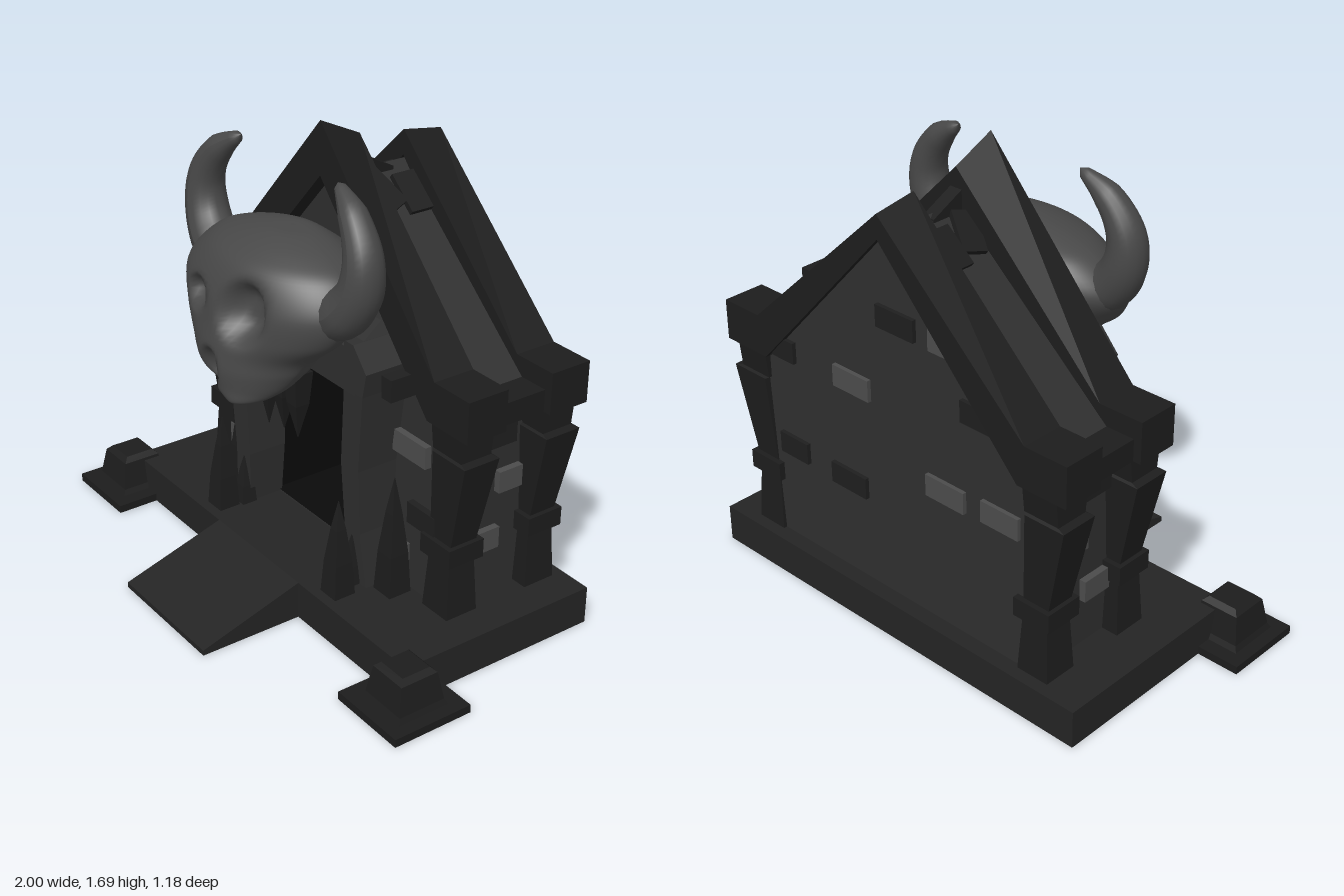
import * as THREE from 'three';

const mat = (color, flat = true) => new THREE.MeshStandardMaterial({ color, flatShading: flat });
const TRIM = mat(0x1d1d1d), WALL = mat(0x2f2f2f), FLOOR = mat(0x242424), DARK = mat(0x1f1f1f);
const LIGHT = mat(0x4c4c4c), BONE = mat(0x484848, false);
const VOID = mat(0x0a0a0a);
VOID.side = THREE.BackSide;
FLOOR.side = THREE.DoubleSide;

function add(parent, name, geo, material, x = 0, y = 0, z = 0) {
  const m = new THREE.Mesh(geo, material);
  m.name = name;
  m.position.set(x, y, z);
  parent.add(m);
  return m;
}

// Box from x0..x1, y0..y1, z0..z1
function block(parent, name, x0, x1, y0, y1, z0, z1, material) {
  return add(parent, name, new THREE.BoxGeometry(x1 - x0, y1 - y0, z1 - z0), material,
    (x0 + x1) / 2, (y0 + y1) / 2, (z0 + z1) / 2);
}

// Solid through rectangular rings [y, x0, x1, z0, z1]; side -1 mirrors it in x
function loft(rings, side = 1, bottom = true) {
  const p = [], idx = [];
  for (const [y, a, b, z0, z1] of rings) {
    const [x0, x1] = side > 0 ? [a, b] : [-b, -a];
    p.push(x0, y, z1, x1, y, z1, x1, y, z0, x0, y, z0);
  }
  const n = rings.length;
  for (let r = 0; r < n - 1; r++) for (let i = 0; i < 4; i++) {
    const a = r * 4 + i, b = r * 4 + (i + 1) % 4;
    idx.push(a, b, b + 4, a, b + 4, a + 4);
  }
  const t = (n - 1) * 4;
  idx.push(t, t + 1, t + 2, t, t + 2, t + 3);
  if (bottom) idx.push(0, 2, 1, 0, 3, 2);
  const g = new THREE.BufferGeometry();
  g.setAttribute('position', new THREE.Float32BufferAttribute(p, 3));
  g.setIndex(idx);
  g.computeVertexNormals();
  return g;
}

const shapeOf = pts => new THREE.Shape(pts.map(([x, y]) => new THREE.Vector2(x, y)));
const extrude = (shape, depth) => new THREE.ExtrudeGeometry(shape, { depth, bevelEnabled: false });
// Side profile of [z, y] points, drawn out along +x
const sideProfile = (pts, width) => extrude(shapeOf(pts.map(([z, y]) => [-z, y])), width).rotateY(Math.PI / 2);

// Gable frame with its ridge falling towards the back
function gableFrame(peak, drop) {
  const g = extrude(shapeOf([[-0.785, 0.85], [-0.585, 0.85], [0, 1.5], [0.585, 0.85], [0.785, 0.85],
    [0.785, 1], [0.615, 1], [0, peak], [-0.615, 1], [-0.785, 1]]), 0.16);
  const pos = g.attributes.position;
  for (let i = 0; i < pos.count; i++) {
    const y = pos.getY(i), back = 1 - pos.getZ(i) / 0.16;
    pos.setY(i, y - drop * back * Math.max(0, (y - 1) / (peak - 1)));
  }
  g.computeVertexNormals();
  return g;
}

// Skull: smooth sections, narrowing to the muzzle, with pressed-in sockets
function skullGeometry() {
  // y, centre x, half width, back z, front z
  const rows = [[0.825, 0.1, 0, 0.31, 0.36], [0.84, 0.1, 0.07, 0.24, 0.375], [0.88, 0.06, 0.16, 0.13, 0.385],
    [0.94, 0.03, 0.23, 0.05, 0.395], [1, 0.015, 0.28, 0, 0.39], [1.08, 0.01, 0.37, -0.05, 0.375],
    [1.18, 0.01, 0.41, -0.1, 0.36], [1.28, 0.03, 0.34, -0.1, 0.315], [1.33, 0.04, 0.24, -0.05, 0.25],
    [1.365, 0.05, 0.1, 0.01, 0.16], [1.37, 0.05, 0, 0.08, 0.08]];
  const widths = new THREE.CatmullRomCurve3(rows.map(r => new THREE.Vector3(r[0], r[1], r[2])), false, 'catmullrom');
  const depths = new THREE.CatmullRomCurve3(rows.map(r => new THREE.Vector3(r[0], r[3], r[4])), false, 'catmullrom');
  // x, y, radius x, radius y, depth
  const sockets = [[-0.12, 1.14, 0.06, 0.045, 0.06], [0.13, 1.15, 0.08, 0.09, 0.085],
    [0.005, 0.925, 0.045, 0.06, 0.06]];
  const g = new THREE.PlaneGeometry(1, 1, 96, 64), pos = g.attributes.position;
  for (let i = 0; i < pos.count; i++) {
    const a = pos.getX(i) * 2 * Math.PI, t = THREE.MathUtils.clamp(pos.getY(i) + 0.5, 0, 1);
    const w = widths.getPoint(t), d = depths.getPoint(t), c = Math.cos(a);
    const x = w.y + w.z * Math.sin(a);
    let z = (d.y + d.z) / 2 + (d.z - d.y) / 2 * (c > 0 ? c ** 1.25 : c);
    if (c > 0) for (const [sx, sy, rx, ry, depth] of sockets) {
      const q = ((x - sx) / rx) ** 2 + ((w.x - sy) / ry) ** 2;
      z -= depth * Math.exp(-q * q);
    }
    pos.setXYZ(i, x, w.x, z);
  }
  g.computeVertexNormals();
  return g;
}

// Curved horn, a tube narrowing to a blunt tip
function hornGeometry(side) {
  const pts = [[0.27, 1.15, 0.13], [0.37, 1.2, 0.125], [0.435, 1.29, 0.115], [0.445, 1.4, 0.11],
    [0.385, 1.51, 0.1], [0.27, 1.595, 0.08]];
  const radii = [0.08, 0.085, 0.075, 0.063, 0.048, 0.015];
  const curve = new THREE.CatmullRomCurve3(pts.map(([x, y, z]) => new THREE.Vector3(side * x, y, z)));
  const n = 30, m = 16, g = new THREE.TubeGeometry(curve, n, 1, m), pos = g.attributes.position;
  const v = new THREE.Vector3();
  for (let i = 0; i < pos.count; i++) {
    const ring = Math.floor(i / (m + 1)), t = ring / n, k = Math.min(Math.floor(t * 5), 4);
    const c = curve.getPointAt(t);
    const r = ring === n ? 0 : THREE.MathUtils.lerp(radii[k], radii[k + 1], t * 5 - k);
    v.fromBufferAttribute(pos, i).sub(c).multiplyScalar(r).add(c);
    pos.setXYZ(i, v.x, v.y, v.z);
  }
  g.computeVertexNormals();
  return g;
}

export function createModel() {
  const model = new THREE.Group();
  model.name = 'skullShrine';

  // Platform open underneath, entry ramp and corner pedestals
  add(model, 'platform', loft([[0, -0.84, 0.845, -0.59, 0.2], [0.14, -0.84, 0.845, -0.59, 0.2]], 1, false), FLOOR);
  add(model, 'ramp', sideProfile([[0.2, 0], [0.2, 0.14], [0.59, 0.02], [0.59, 0]], 0.5), FLOOR, -0.25);
  for (const s of [-1, 1]) {
    block(model, 'pedestalPad', s * 0.85 - 0.15, s * 0.85 + 0.15, 0, 0.03, 0.055, 0.36, TRIM);
    const ring = (y, r) => [y, 0.855 - r, 0.855 + r, 0.21 - r, 0.21 + r];
    add(model, 'pedestal', loft([ring(0.03, 0.1), ring(0.05, 0.09), ring(0.15, 0.073), ring(0.168, 0.055)], s), TRIM);
  }

  const house = new THREE.Group();
  house.name = 'house';
  house.position.x = 0.015;
  model.add(house);

  // Walls with a doorway, closed at the back
  const outline = [[-0.64, 0.14], [0.64, 0.14], [0.64, 0.88], [0.69, 0.89], [0, 1.49], [-0.69, 0.89], [-0.64, 0.88]];
  const front = shapeOf(outline);
  front.holes.push(new THREE.Path([[-0.33, 0.145], [-0.33, 0.9], [0.33, 0.9], [0.33, 0.145]]
    .map(([x, y]) => new THREE.Vector2(x, y))));
  add(house, 'walls', extrude(front, 0.38), WALL, 0, 0, -0.48);
  add(house, 'backWall', extrude(shapeOf(outline), 0.05), WALL, 0, 0, -0.53);
  block(house, 'doorwayLining', -0.325, 0.325, 0.146, 0.895, -0.475, -0.1, VOID);
  block(house, 'innerDoor', -0.265, 0.25, 0.14, 0.53, -0.47, -0.44, mat(0x131313));
  // Ridge rising to the front gable
  add(house, 'ridge', sideProfile([[-0.2, 1.4], [-0.34, 1.4], [-0.34, 1.48], [-0.32, 1.49], [-0.2, 1.55]], 0.05),
    TRIM, -0.025);

  // Gable frames
  add(house, 'frontGable', gableFrame(1.69, 0.075), TRIM, 0, 0, -0.215);
  add(house, 'backGable', gableFrame(1.59, 0.025), TRIM, 0, 0, -0.56);

  for (const s of [-1, 1]) {
    // Eaves, and flared pillars with a band
    add(house, 'eave', loft([[0.85, 0.62, 0.755, -0.42, -0.2], [0.93, 0.62, 0.755, -0.42, -0.2]], s), TRIM);
    for (const z of [-0.135, -0.48]) {
      const ring = (y, a, b, r) => [y, a, b, z - r, z + r];
      add(house, 'pillar', loft([ring(0.125, 0.575, 0.705, 0.065), ring(0.38, 0.59, 0.69, 0.052),
        ring(0.75, 0.61, 0.77, 0.072), ring(0.755, 0.6, 0.74, 0.062), ring(0.85, 0.6, 0.74, 0.072)], s), TRIM);
      add(house, 'pillarBand', loft([ring(0.35, 0.565, 0.715, 0.073), ring(0.42, 0.565, 0.715, 0.073)], s), TRIM);
    }
    // Leaning door posts
    add(house, 'doorPost', loft([[0.14, 0.31, 0.395, -0.11, 0.03], [0.35, 0.29, 0.375, -0.11, 0.045],
      [0.6, 0.285, 0.38, -0.11, 0.06], [0.9, 0.32, 0.42, -0.11, 0.078], [0.99, 0.32, 0.44, -0.11, 0.08],
      [1.07, 0.32, 0.37, -0.11, 0.08]], s), WALL);
    block(house, 'postCap', s * 0.475 - 0.025, s * 0.475 + 0.025, 0.9, 0.98, -0.1, 0.025, DARK);
    // Floor spikes beside the doorway, swollen below the tip
    for (const [x, z, tip, r] of [[0.45, -0.04, 0.58, 0.045], [0.355, 0.12, 0.5, 0.042], [0.33, 0.04, 0.34, 0.03]]) {
      const ring = (y, k) => [0.14 + (tip - 0.14) * y, x - r * k, x + r * k, z - r * k, z + r * k];
      add(house, 'floorSpike', loft([ring(0, 1), ring(0.35, 0.82), ring(0.7, 0.45), ring(1, 0.02)], s), TRIM);
    }
    // Raised bricks on the side walls: z, y, length
    [[-0.29, 0.75, 0.17, DARK], [-0.36, 0.57, 0.1, LIGHT], [-0.26, 0.36, 0.12, LIGHT]].forEach(([z, y, l, m]) =>
      block(house, 'sideBrick', s * 0.645 - 0.02, s * 0.645 + 0.02, y - 0.04, y + 0.04, z - l / 2, z + l / 2, m));
    // Loose roof slabs near the ridge
    for (const [x, z, turn] of [[0.1, -0.355, 0], [0.08, -0.25, 0.35]]) {
      const slab = add(house, 'roofSlab', new THREE.BoxGeometry(0.15, 0.04, 0.09), TRIM, s * x, 1.49 - x * 0.87, z);
      slab.rotation.set(0, s * turn, -s * 0.715, 'ZYX');
    }
  }
  add(house, 'doorLintel', loft([[0.89, -0.38, 0.38, -0.11, 0.078], [1.05, -0.38, 0.38, -0.11, 0.08],
    [1.11, -0.34, 0.34, -0.11, -0.055]]), WALL);

  // Raised bricks on the front and back walls: x, y, width
  const brick = z => ([x, y, w, m]) => block(model, 'brick', x - w / 2, x + w / 2, y - 0.04, y + 0.04, z - 0.02, z + 0.02, m);
  [[0.49, 0.69, 0.17, LIGHT], [-0.53, 0.61, 0.15, DARK], [-0.42, 0.45, 0.12, LIGHT], [-0.52, 0.27, 0.13, LIGHT],
    [0.56, 0.45, 0.14, DARK], [0.43, 0.27, 0.1, LIGHT]].forEach(brick(-0.095));
  [[0.19, 0.9, 0.17, LIGHT], [-0.03, 1.2, 0.17, DARK], [-0.24, 1.2, 0.12, LIGHT], [0.5, 0.52, 0.14, DARK],
    [0.22, 0.51, 0.17, DARK], [-0.24, 0.66, 0.17, LIGHT], [-0.48, 0.67, 0.16, LIGHT], [-0.38, 1, 0.13, DARK],
    [0.54, 0.9, 0.13, DARK]].forEach(brick(-0.525));

  // Skull, horns and hanging teeth
  add(model, 'skull', skullGeometry(), BONE);
  for (const s of [-1, 1]) add(model, 'horn', hornGeometry(s), BONE, 0.025, 0, 0);
  [[-0.14, 0.69], [-0.07, 0.71], [0.03, 0.66], [0.12, 0.68], [0.2, 0.68]].forEach(([x, tip]) => {
    const ring = (y, r) => [y, x - r, x + r, 0.165 - r, 0.165 + r];
    add(model, 'tooth', loft([ring(tip, 0.001), ring(0.81, 0.027), ring(0.93, 0.036)]), TRIM);
  });
  return model;
}
